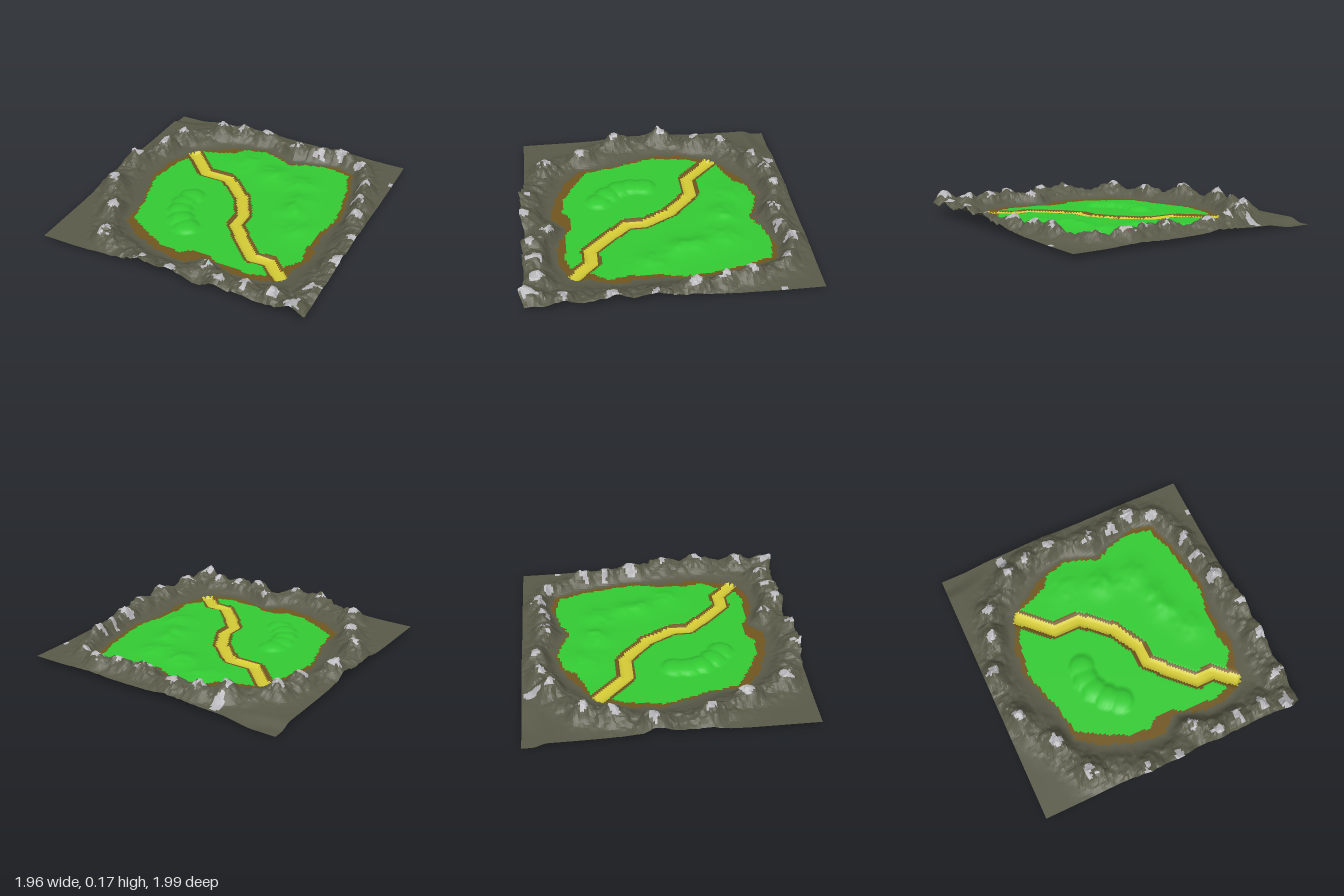
import * as THREE from 'three';

const N = 132; // terrain cells per side
const X0 = -0.98, X1 = 0.96, Z0 = -1, Z1 = 0.95;

// Outer foot of the mountains, [x, z]
const valley = [[-0.6, -0.5], [-0.45, -0.61], [-0.27, -0.72], [-0.1, -0.77], [0.05, -0.72], [0.15, -0.67],
  [0.3, -0.74], [0.5, -0.78], [0.63, -0.75], [0.7, -0.55], [0.74, -0.35], [0.77, -0.15], [0.74, 0], [0.73, 0.2],
  [0.76, 0.35], [0.71, 0.5], [0.68, 0.64], [0.55, 0.72], [0.35, 0.73], [0.14, 0.66], [0, 0.76], [-0.2, 0.73],
  [-0.4, 0.66], [-0.57, 0.53], [-0.59, 0.3], [-0.66, 0.1], [-0.71, -0.05], [-0.68, -0.3]];
// Edge of the grass, [x, z]
const meadow = [[-0.53, -0.53], [-0.31, -0.62], [-0.25, -0.7], [-0.1, -0.75], [0.05, -0.71], [0.15, -0.65],
  [0.3, -0.73], [0.47, -0.75], [0.61, -0.72], [0.67, -0.55], [0.72, -0.3], [0.74, -0.1], [0.7, 0.05], [0.69, 0.3],
  [0.71, 0.4], [0.63, 0.52], [0.6, 0.63], [0.45, 0.68], [0.2, 0.66], [0.13, 0.62], [0.02, 0.62], [-0.05, 0.68],
  [-0.2, 0.67], [-0.38, 0.58], [-0.55, 0.48], [-0.58, 0.3], [-0.64, 0.1], [-0.68, -0.05], [-0.64, -0.3]];
// Summits in ring order, [x, z, height]
const peaks = [[-0.75, -0.6, 0.15], [-0.8, -0.4, 0.16], [-0.9, -0.13, 0.16], [-0.87, 0.23, 0.17], [-0.7, 0.5, 0.14],
  [-0.57, 0.79, 0.16], [-0.2, 0.94, 0.14], [0.03, 0.93, 0.13], [0.2, 0.78, 0.14], [0.35, 0.9, 0.14],
  [0.52, 0.88, 0.15], [0.72, 0.86, 0.14], [0.87, 0.92, 0.16], [0.92, 0.72, 0.13], [0.94, 0.4, 0.14],
  [0.94, 0.12, 0.14], [0.87, -0.15, 0.16], [0.82, -0.35, 0.15], [0.8, -0.52, 0.15], [0.68, -0.79, 0.13],
  [0.5, -0.88, 0.15], [0.33, -0.83, 0.15], [0.14, -0.83, 0.15], [-0.15, -0.89, 0.14], [-0.35, -0.87, 0.15],
  [-0.5, -0.81, 0.17]];
const river = [[-0.6, -0.5], [-0.38, -0.28], [-0.18, -0.28], [0.02, -0.1], [0.13, 0.1], [0.13, 0.22],
  [0.25, 0.36], [0.4, 0.51], [0.52, 0.5], [0.67, 0.64]];
// Rounded hills, [x, z, radius, height]
const domes = [[-0.31, 0.06, 0.09, 0.03], [-0.32, 0.16, 0.09, 0.032], [-0.3, 0.25, 0.09, 0.035],
  [-0.24, 0.34, 0.09, 0.035], [-0.16, 0.41, 0.09, 0.03]];
const hills = [[-0.15, -0.56, 0.2, 0.022], [0.1, -0.47, 0.16, 0.04], [0.34, -0.44, 0.16, 0.035],
  [0.42, -0.25, 0.14, 0.03], [0.43, -0.1, 0.14, 0.04], [0.55, 0.1, 0.17, 0.025]];

const { smoothstep, clamp, lerp } = THREE.MathUtils;

function hash(i, j) {
  const s = Math.sin(i * 127.1 + j * 311.7) * 43758.5453;
  return s - Math.floor(s);
}

// Value noise, -1 to 1
function noise(x, z) {
  const i = Math.floor(x), j = Math.floor(z), u = smoothstep(x - i, 0, 1), v = smoothstep(z - j, 0, 1);
  return 2 * lerp(lerp(hash(i, j), hash(i + 1, j), u), lerp(hash(i, j + 1), hash(i + 1, j + 1), u), v) - 1;
}

function lineDistance(x, z, pts, closed) {
  let best = Infinity;
  for (let k = closed ? 0 : 1; k < pts.length; k++) {
    const [ax, az] = pts[(k + pts.length - 1) % pts.length], [bx, bz] = pts[k];
    const dx = bx - ax, dz = bz - az;
    const t = clamp(((x - ax) * dx + (z - az) * dz) / (dx * dx + dz * dz), 0, 1);
    best = Math.min(best, Math.hypot(x - ax - t * dx, z - az - t * dz));
  }
  return best;
}

// Distance to an outline, negative inside
function outside(x, z, pts) {
  let inside = false;
  pts.forEach(([bx, bz], k) => {
    const [ax, az] = pts[(k + pts.length - 1) % pts.length];
    if ((az > z) !== (bz > z) && x < ax + (z - az) / (bz - az) * (bx - ax)) inside = !inside;
  });
  return lineDistance(x, z, pts, true) * (inside ? -1 : 1);
}

// How close a point is to its nearest summit: 1 on top, 0 at the foot
function summit(x, z) {
  let best = 0, rise = 0;
  for (const [px, pz, h] of peaks) {
    const w = 1 - Math.hypot(x - px, z - pz) / 0.12;
    if (w > best) { best = w; rise = w * (h - 0.08); }
  }
  return { closeness: best, rise };
}

function height(x, z) {
  const d = outside(x, z, valley);
  let y = 0.022;
  if (d > 0) {
    // Mountain ring with rough slopes, falling to flat corners
    const foot = smoothstep(d, 0, 0.11);
    const mound = Math.exp(-((lineDistance(x, z, peaks, true) / 0.11) ** 2));
    const rough = 0.018 * noise(x * 16, z * 16) + 0.013 * noise(x * 38, z * 38);
    y += 0.008 * foot + foot * (mound * (0.05 + rough) + summit(x, z).rise);
    // Sunken back corner
    y -= 0.03 * (1 - smoothstep(Math.hypot((x - X0) / 0.4, (z - Z0) / 0.17), 0.4, 1));
  } else {
    let swell = 0;
    for (const [hx, hz, r, h] of hills) swell += h * 0.75 * Math.exp(-2.5 * ((x - hx) ** 2 + (z - hz) ** 2) / (r * r));
    y += swell * (1 + 0.25 * noise(x * 22, z * 22)) * smoothstep(-d, 0, 0.1);
    let dome = 0;
    for (const [hx, hz, r, h] of domes) {
      dome = Math.max(dome, h * Math.sqrt(Math.max(0, 1 - ((x - hx) ** 2 + (z - hz) ** 2) / (r * r))));
    }
    y += dome;
    // River channel
    y = lerp(0.001, y, smoothstep(lineDistance(x, z, river, false), 0.02, 0.06));
  }
  return Math.max(0, y);
}

function ground(x, z) {
  const d = outside(x, z, valley);
  if (d < 0.005) {
    const r = lineDistance(x, z, river, false);
    if (r < 0.042) return 'riverBed';
    if (r < 0.064) return 'dirt';
  }
  const ragged = 0.012 * noise(x * 45, z * 45);
  if (outside(x, z, meadow) + ragged * 0.6 < 0) return 'grass';
  if (d + ragged < 0) return 'dirt';
  const drift = Math.hypot((x + 0.52) / 0.6, z + 0.93) < 0.06 || Math.hypot(x - 0.95, z + 0.73) < 0.025;
  const cap = summit(x, z).closeness + 0.28 * noise(x * 30 + 7, z * 30);
  return drift || cap > 0.72 ? 'snow' : 'rock';
}

export function createModel() {
  const model = new THREE.Group();
  const positions = [];
  for (let j = 0; j <= N; j++) {
    for (let i = 0; i <= N; i++) {
      let x = lerp(X0, X1, i / N), z = lerp(Z0, Z1, j / N);
      const y = height(x, z), tall = Math.max(0, y - 0.05);
      // Slopes lean sideways, and peaks bulge over the right and front borders
      const px = x, pz = z;
      if (i > 0 && i < N) x += tall * 0.12 * noise(px * 40 + 3, pz * 40);
      if (j > 0 && j < N) z += tall * 0.12 * noise(px * 40, pz * 40 + 9);
      x += 0.3 * tall * smoothstep(px, 0.88, X1);
      z += 0.4 * tall * smoothstep(pz, 0.86, Z1);
      positions.push(Math.min(x, 0.98), y, Math.min(z, 1));
    }
  }

  // Sort the cells by ground cover
  const cells = { rock: [], snow: [], dirt: [], grass: [], riverBed: [] };
  for (let j = 0; j < N; j++) {
    for (let i = 0; i < N; i++) {
      const a = j * (N + 1) + i, b = a + 1, c = a + N + 1, d = c + 1;
      const cover = ground(lerp(X0, X1, (i + 0.5) / N), lerp(Z0, Z1, (j + 0.5) / N));
      cells[cover].push(a, c, b, b, c, d);
    }
  }

  const whole = new THREE.BufferGeometry();
  whole.setAttribute('position', new THREE.Float32BufferAttribute(positions, 3));
  whole.setIndex(Object.values(cells).flat());
  whole.computeVertexNormals();

  const colors = { rock: 0x5a5a49, snow: 0xb6b6ba, dirt: 0x70561f, grass: 0x33cc33, riverBed: 0xd4cb35 };
  for (const [name, index] of Object.entries(cells)) {
    const part = new THREE.BufferGeometry();
    part.setAttribute('position', whole.getAttribute('position'));
    part.setAttribute('normal', whole.getAttribute('normal'));
    part.setIndex(index);
    const material = new THREE.MeshStandardMaterial({
      color: colors[name], side: THREE.DoubleSide, flatShading: name === 'rock' || name === 'snow',
    });
    const mesh = new THREE.Mesh(part.toNonIndexed(), material);
    mesh.name = name;
    model.add(mesh);
  }
  return model;
}
